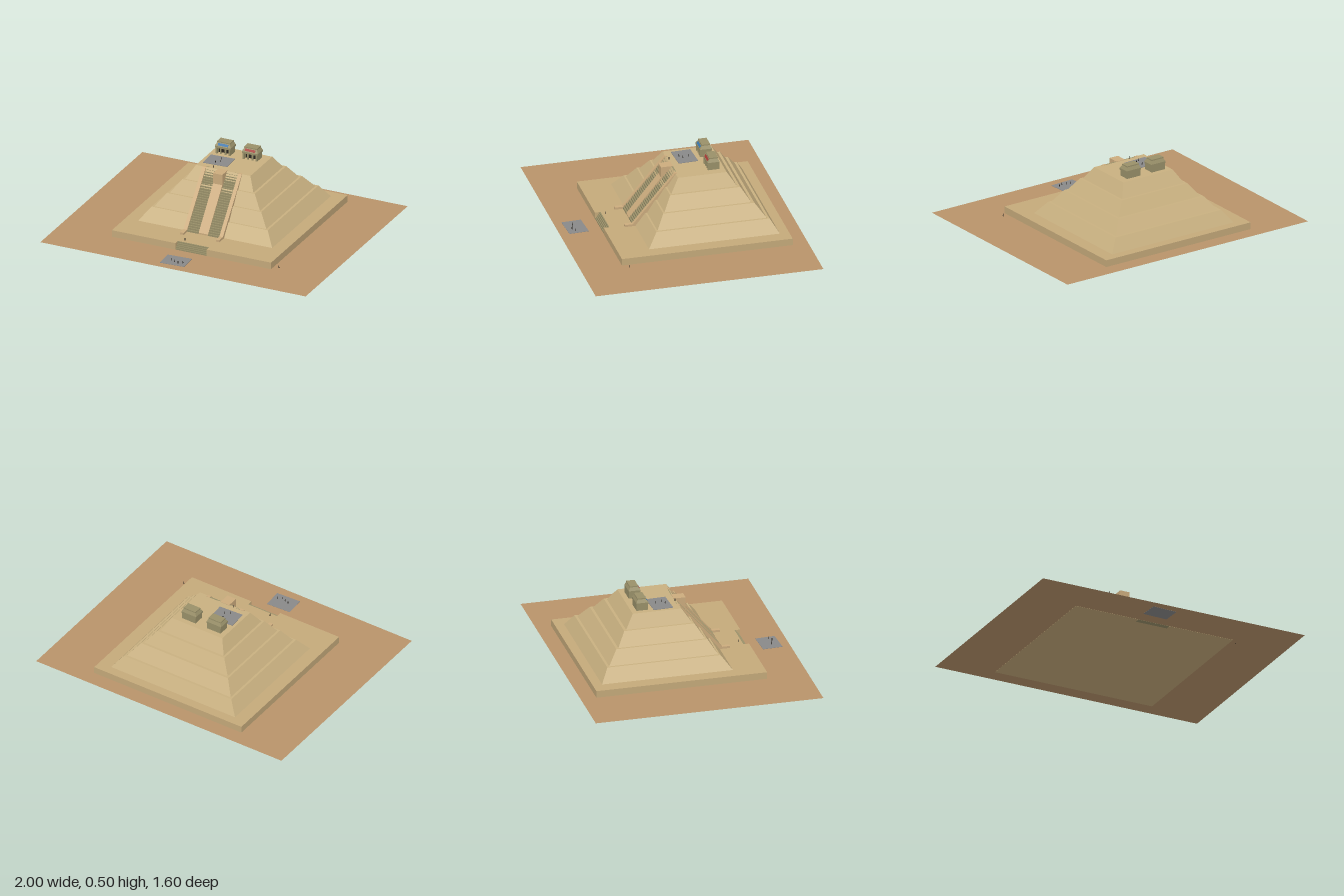
import * as THREE from 'three';

const mat = (color) => new THREE.MeshStandardMaterial({ color, side: THREE.DoubleSide });

export function createModel() {
  const root = new THREE.Group();
  const sand = mat(0xc8b080), base = mat(0xc4a97a), earth = mat(0xb8936a);
  const trim = mat(0xcbab7d), olive = mat(0x999069), grey = mat(0x888888);
  const dark = mat(0x2a2620), blue = mat(0x3a78b0), red = mat(0xa83c36);

  const add = (name, geo, material, parent = root, x = 0, y = 0, z = 0) => {
    const m = new THREE.Mesh(geo, material);
    m.name = name;
    m.position.set(x, y, z);
    parent.add(m);
    return m;
  };

  // box with separate bottom and top rectangles: b and t are [halfX, zBack, zFront]
  const frustum = (b, t, y0, y1) => {
    const g = new THREE.BoxGeometry(2, 2, 2), p = g.attributes.position;
    for (let i = 0; i < p.count; i++) {
      const up = p.getY(i) > 0, r = up ? t : b;
      p.setXYZ(i, p.getX(i) * r[0], up ? y1 : y0, p.getZ(i) > 0 ? r[2] : r[1]);
    }
    g.computeVertexNormals();
    return g;
  };

  // side profile of [z, y] points drawn out from x0 to x1
  const sideExtrude = (pts, x0, x1) => {
    const shape = new THREE.Shape(pts.map(([z, y]) => new THREE.Vector2(z, y)));
    const g = new THREE.ExtrudeGeometry(shape, { depth: x1 - x0, bevelEnabled: false });
    return g.rotateY(-Math.PI / 2).translate(x1, 0, 0);
  };

  // stepped profile falling from (z0, y0) to (z1, y1)
  const steps = (z0, y0, z1, y1, n, floor) => {
    const pts = [[z0, floor], [z0, y0]];
    const dz = (z1 - z0) / n, dy = (y0 - y1) / n;
    for (let i = 1; i <= n; i++) {
      pts.push([z0 + dz * i, y0 - dy * (i - 1)]);
      pts.push([z0 + dz * i, i === n ? floor : y0 - dy * i]);
    }
    return pts;
  };

  // ground
  add('ground', new THREE.PlaneGeometry(2, 1.6).rotateX(-Math.PI / 2), earth, root, 0, 0.001);

  // platform with a notch for the entrance steps
  const outline = [[-0.6, -0.69], [0.6, -0.69], [0.6, 0.51], [0.115, 0.51], [0.115, 0.47],
    [-0.12, 0.47], [-0.12, 0.51], [-0.6, 0.51]].map(([x, z]) => new THREE.Vector2(x, z));
  add('platform', new THREE.ExtrudeGeometry(new THREE.Shape(outline), { depth: 0.05, bevelEnabled: false })
    .rotateX(Math.PI / 2).translate(0, 0.05, 0), base);
  add('entranceSteps', sideExtrude(steps(0.47, 0.05, 0.508, 0.0, 5, 0), -0.12, 0.115), olive);

  // four sloping tiers
  const tiers = [
    [[0.505, -0.625, 0.295], [0.438, -0.57, 0.225]],
    [[0.422, -0.553, 0.213], [0.355, -0.485, 0.155]],
    [[0.34, -0.467, 0.143], [0.273, -0.408, 0.085]],
    [[0.257, -0.39, 0.073], [0.205, -0.33, 0.012]],
  ];
  tiers.forEach(([b, t], i) => add('tier' + (i + 1), frustum(b, t, 0.05 + 0.09 * i, 0.14 + 0.09 * i), sand));

  // twin stairways
  for (const [name, x0, x1] of [['rightStairs', -0.128, -0.042], ['leftStairs', 0.028, 0.115]]) {
    add(name, sideExtrude(steps(0.0, 0.41, 0.31, 0.05, 28, 0.05), x0, x1), olive);
  }
  // central ramp with a block at its head
  add('centralRamp', sideExtrude([[0, 0.05], [0.31, 0.05], [0.31, 0.06], [0.085, 0.335],
    [0.085, 0.412], [0, 0.412]], -0.042, 0.028), trim);
  // outer balustrades with projecting feet
  for (const [name, x0, x1] of [['rightBalustrade', -0.155, -0.128], ['leftBalustrade', 0.115, 0.142]]) {
    add(name, sideExtrude([[0, 0.05], [0.368, 0.05], [0.368, 0.065], [0.312, 0.065],
      [0.016, 0.411], [0, 0.411]], x0, x1), trim);
  }

  // temples
  const temple = (name, x, panelMat) => {
    const g = new THREE.Group();
    g.name = name;
    g.position.set(x, 0.41, -0.253);
    root.add(g);
    const box = (n, w, h, d, m, px, py, pz) => add(n, new THREE.BoxGeometry(w, h, d), m, g, px, py, pz);
    box('backWall', 0.11, 0.046, 0.045, olive, 0, 0.023, -0.018);
    for (const s of [-1, 1]) {
      box('sideWall', 0.012, 0.046, 0.08, olive, s * 0.049, 0.023, 0);
      box('doorPost', 0.01, 0.046, 0.01, olive, s * 0.018, 0.023, 0.034);
    }
    box('doorway', 0.086, 0.044, 0.004, dark, 0, 0.022, 0.007);
    box('lintel', 0.118, 0.014, 0.084, olive, 0, 0.05, 0);
    add('roof', frustum([0.06, -0.042, 0.042], [0.046, -0.029, 0.024], 0.057, 0.083), olive, g);
    add('roofCap', frustum([0.049, -0.032, 0.027], [0.049, -0.032, 0.027], 0.08, 0.088), olive, g);
    // coloured panel lying on the sloping roof front
    const panel = box('roofPanel', 0.076, 0.017, 0.003, panelMat, 0, 0.069, 0.035);
    panel.rotation.x = -0.6;
  };
  temple('rightTemple', -0.112, blue);
  temple('leftTemple', 0.092, red);

  // grey paving patches
  const patch = new THREE.BoxGeometry(0.18, 0.003, 0.138);
  add('summitPatch', patch, grey, root, -0.092, 0.4115, -0.112).rotation.y = 0.05;
  add('groundPatch', patch, grey, root, -0.04, 0.0015, 0.67).rotation.y = 0.05;

  // tiny standing figures
  const body = new THREE.CylinderGeometry(0.0018, 0.003, 0.014, 6);
  const head = new THREE.SphereGeometry(0.0025, 6, 5);
  const spots = [
    [-0.08, 0.41, 0], [-0.1, 0.41, -0.075], [-0.07, 0.41, -0.095], [-0.085, 0.41, -0.14],
    [-0.07, 0, 0.68], [-0.04, 0, 0.69], [-0.01, 0, 0.7], [0.02, 0, 0.685],
    [-0.08, 0.05, 0.445], [0.64, 0, 0.47],
  ];
  for (const [x, y, z] of spots) {
    const f = new THREE.Group();
    f.name = 'figure';
    f.position.set(x, y, z);
    add('body', body, dark, f, 0, 0.008, 0);
    add('head', head, dark, f, 0, 0.017, 0);
    root.add(f);
  }
  return root;
}
